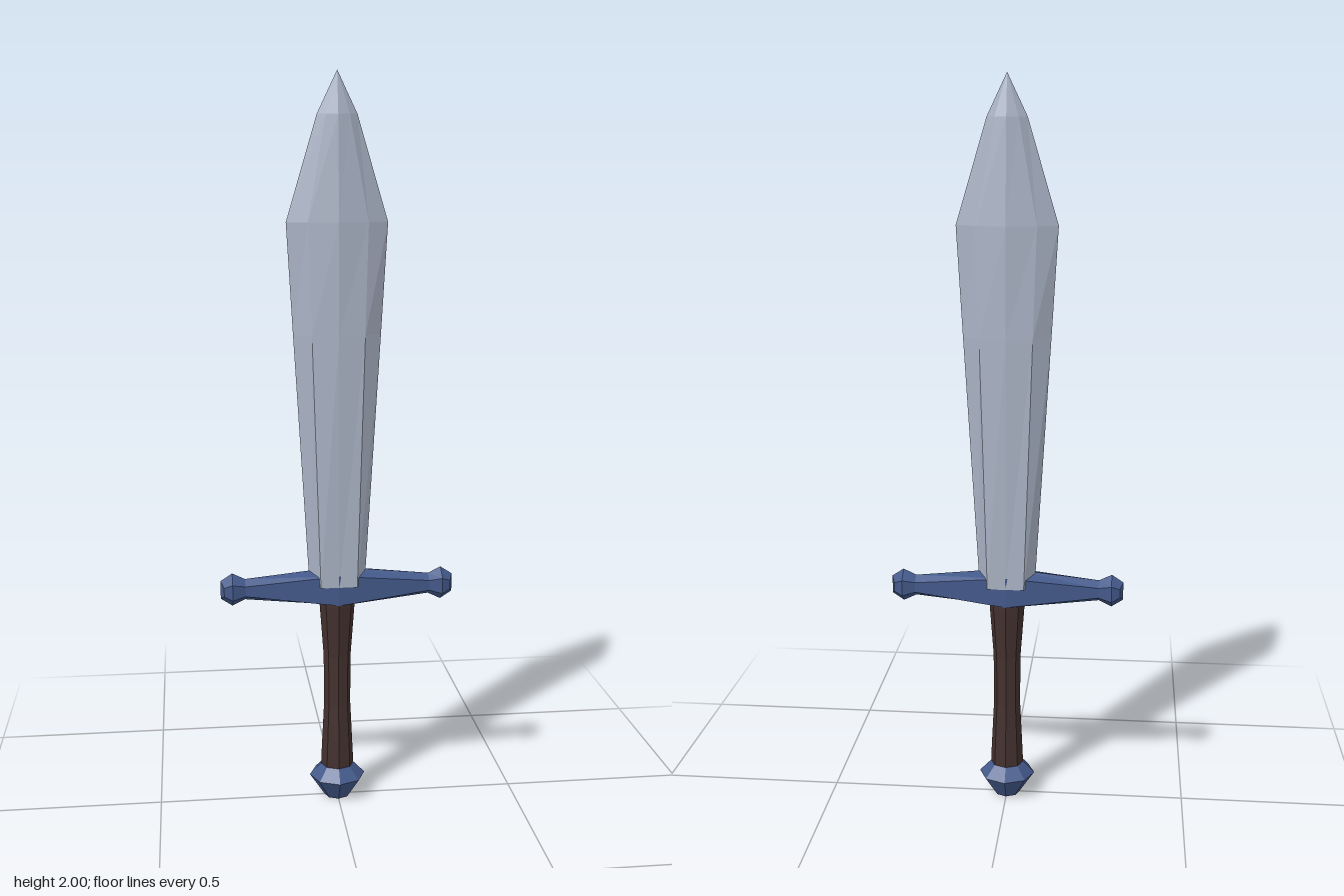
import * as THREE from 'three';

const paint = (color) => new THREE.MeshStandardMaterial({ color, flatShading: true });

// Skin a list of equal-length rings (counter-clockwise seen from the loft direction) and cap both ends
function loft(rings) {
  const out = [];
  const tri = (...pts) => pts.forEach((p) => out.push(...p));
  const n = rings[0].length;
  for (let r = 0; r < rings.length - 1; r++) {
    const a = rings[r], b = rings[r + 1];
    for (let i = 0; i < n; i++) {
      const j = (i + 1) % n;
      tri(a[i], a[j], b[j]);
      tri(a[i], b[j], b[i]);
    }
  }
  const first = rings[0], last = rings[rings.length - 1];
  for (let i = 1; i < n - 1; i++) {
    tri(first[0], first[i + 1], first[i]);
    tri(last[0], last[i], last[i + 1]);
  }
  const g = new THREE.BufferGeometry();
  g.setAttribute('position', new THREE.Float32BufferAttribute(out, 3));
  g.computeVertexNormals();
  return g;
}

// Eight-sided turned part
function turned(profile) {
  return new THREE.LatheGeometry(profile.map(([r, y]) => new THREE.Vector2(r, y)), 8);
}

// Blade section: edge half-width w, bevel corner (b, zb), spine depth zc
function bladeRing(y, w, b, zb, zc) {
  return [[w, y, 0], [b, y, -zb], [0, y, -zc], [-b, y, -zb],
    [-w, y, 0], [-b, y, zb], [0, y, zc], [b, y, zb]];
}

// Guard section: ridge height h, side half-height s, side depth d, ridge pushed out along x by bulge
function guardRing(x, h, s, d, bulge = 0) {
  const y = 0.62, rx = x + Math.sign(x) * bulge;
  return [[rx, y + h, 0], [x, y + s, d], [x, y - s, d],
    [rx, y - h, 0], [x, y - s, -d], [x, y + s, -d]];
}

export function createModel() {
  const model = new THREE.Group();
  const blue = paint(0x43598a);
  const add = (name, geometry, material) => {
    const mesh = new THREE.Mesh(geometry, material);
    mesh.name = name;
    model.add(mesh);
  };

  // Leaf-shaped blade, flat at the root and ridged towards the tip
  add('blade', loft([
    bladeRing(0.63, 0.077, 0.05, 0.05, 0.05),
    bladeRing(1.32, 0.118, 0.071, 0.038, 0.048),
    bladeRing(1.615, 0.135, 0.08, 0.029, 0.045),
    bladeRing(1.89, 0.053, 0.031, 0.017, 0.025),
    bladeRing(2, 0, 0, 0, 0),
  ]), paint(0xa9b2c4));

  // Tapered cross guard with a faceted knob at each end
  const half = [
    [0.255, 0.029, 0.014, 0.025],
    [0.29, 0.046, 0.022, 0.036],
    [0.313, 0.025, 0.012, 0.025, 0.009],
  ];
  add('guard', loft([
    ...half.map(([x, ...rest]) => guardRing(-x, ...rest)).reverse(),
    guardRing(0, 0.055, 0.042, 0.05),
    ...half.map((p) => guardRing(...p)),
  ]), blue);

  // Waisted grip
  add('grip', turned([[0.046, 0.08], [0.045, 0.12], [0.037, 0.28], [0.038, 0.42],
    [0.049, 0.57], [0.049, 0.6]]), paint(0x43312f));

  // Pommel
  add('pommel', turned([[0, 0], [0.036, 0], [0.078, 0.062], [0.046, 0.095], [0, 0.095]]), blue);

  return model;
}
